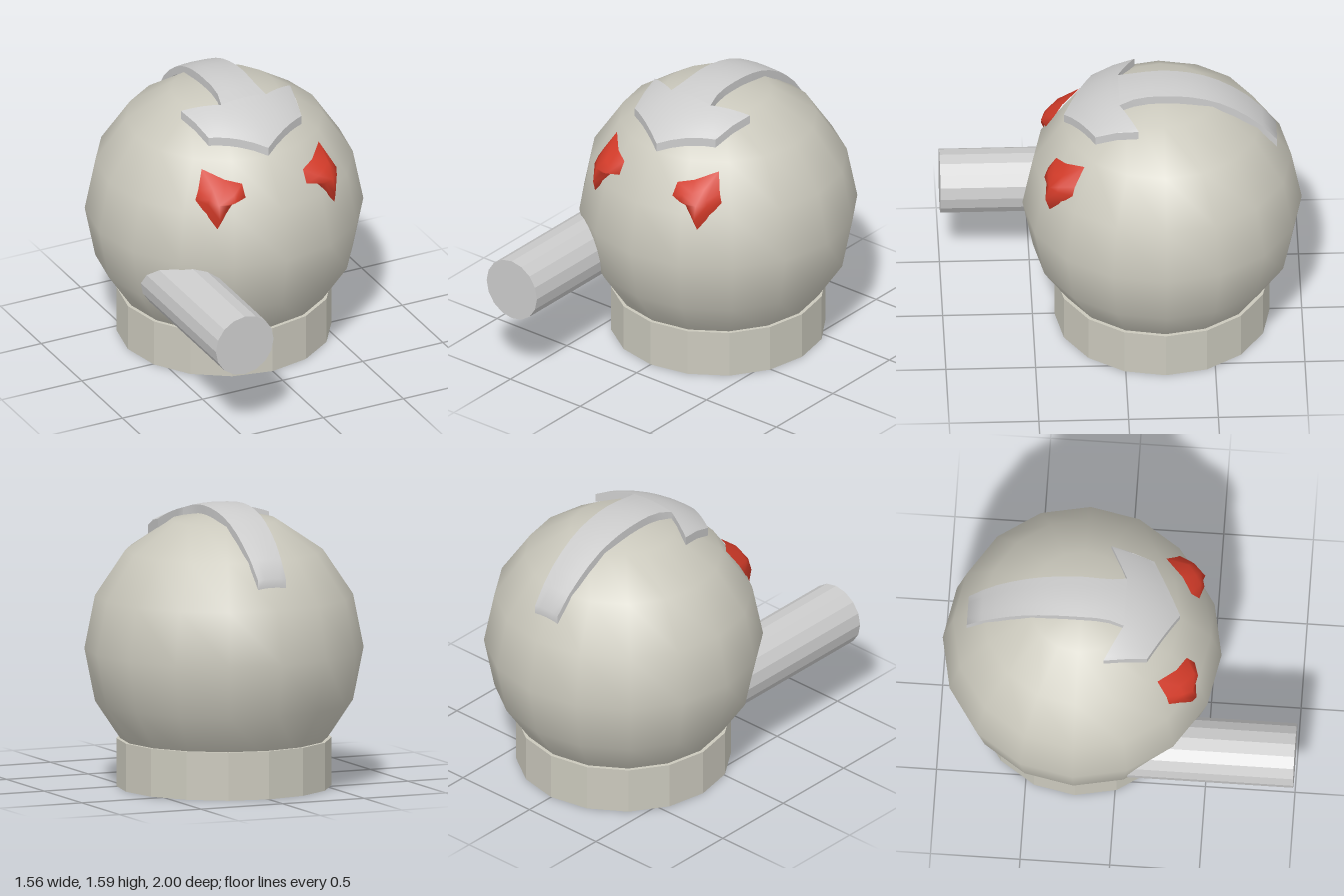
import * as THREE from 'three';
import { toCreasedNormals } from 'three/addons/utils/BufferGeometryUtils.js';

const CY = 0.777, CZ = -0.222, R = 0.778; // ball centre and radius

const grey = new THREE.MeshStandardMaterial({ color: 0xcccccc, side: THREE.DoubleSide });
const stone = new THREE.MeshStandardMaterial({ color: 0xcac8bc });
const red = new THREE.MeshStandardMaterial({ color: 0xd03a28 });

function add(group, name, geometry, material, x = 0, y = 0, z = 0) {
  const mesh = new THREE.Mesh(geometry, material);
  mesh.name = name;
  mesh.position.set(x, y, z);
  group.add(mesh);
  return mesh;
}

function buffer(positions, index) {
  const g = new THREE.BufferGeometry();
  g.setAttribute('position', new THREE.Float32BufferAttribute(positions, 3));
  g.setIndex(index);
  g.computeVertexNormals();
  return g;
}

// Curved plate over the ball: at(i, j) gives [x, z]; the border ring drops down as a wall
function plate(nx, nz, at, thickness = 0.05) {
  const pos = [], idx = [], row = nx + 2;
  for (let j = -1; j <= nz; j++) {
    for (let i = -1; i <= nx; i++) {
      const ci = THREE.MathUtils.clamp(i, 0, nx - 1), cj = THREE.MathUtils.clamp(j, 0, nz - 1);
      const [x, z] = at(ci, cj);
      const r = 0.813 - 0.06 * Math.max(0, -z - 0.5);
      const y = CY + Math.sqrt(r * r - x * x - (z - CZ) ** 2);
      pos.push(x, ci === i && cj === j ? y : y - thickness, z);
    }
  }
  for (let j = 0; j <= nz; j++) {
    for (let i = 0; i <= nx; i++) {
      const a = j * row + i, b = a + 1, c = a + row, d = c + 1;
      idx.push(a, c, b, b, c, d);
    }
  }
  return toCreasedNormals(buffer(pos, idx), 0.7);
}

// Piecewise linear lookup through [x, value] pairs
function lookup(pairs, x) {
  for (let k = 1; k < pairs.length; k++) {
    const [x0, v0] = pairs[k - 1], [x1, v1] = pairs[k];
    if (x <= x1) return v0 + (v1 - v0) * (x - x0) / (x1 - x0);
  }
  return pairs[pairs.length - 1][1];
}

// Bulging eye patch: outline on the ball, raised inner ring and centre
function eye(side) {
  const outline = [[0.365, 1.285], [0.273, 1.243], [0.19, 1.222], [0.19, 1.155],
    [0.265, 1.13], [0.365, 0.996], [0.44, 1.14], [0.416, 1.185]];
  if (side < 0) outline.reverse();
  const n = outline.length, centre = [0.355, 1.14], pos = [], idx = [];
  const put = (x, y, r) =>
    pos.push(side * x, y, CZ + Math.sqrt(r * r - x * x - (y - CY) ** 2));
  for (const [t, r] of [[1, 0.768], [0.55, 0.806]]) {
    for (const [x, y] of outline) {
      put(centre[0] + (x - centre[0]) * t, centre[1] + (y - centre[1]) * t, r);
    }
  }
  put(...centre, 0.818);
  for (let i = 0; i < n; i++) {
    const k = (i + 1) % n;
    idx.push(i, k, n + i, k, n + k, n + i, n + i, n + k, 2 * n);
  }
  return buffer(pos, idx);
}

export function createModel() {
  const model = new THREE.Group();
  model.name = 'ballHead';

  // Round head on a faceted collar
  add(model, 'head', new THREE.SphereGeometry(R, 16, 8), stone, 0, CY, CZ);
  const collar = new THREE.CylinderGeometry(0.6, 0.6, 0.27, 16);
  add(model, 'collar', toCreasedNormals(collar, 0.2), stone, 0, 0.135, CZ);

  // Rod sticking out to the front
  const rod = new THREE.CylinderGeometry(0.18, 0.18, 1.1, 16).rotateX(Math.PI / 2);
  add(model, 'rod', toCreasedNormals(rod, 0.2), grey, -0.49, 0.57, 0.45);

  // Crest: arrow-shaped brow plate and the strip running back from it
  const crest = new THREE.Group();
  crest.name = 'crest';
  model.add(crest);

  const half = [0.07, 0.14, 0.19, 0.24, 0.29, 0.315, 0.34];
  const xs = [...half.map((x) => -x).reverse(), 0, ...half];
  const front = [[0, 0.325], [0.29, 0.16], [0.34, -0.08]];
  const back = [[0, 0.02], [0.14, 0.02], [0.34, -0.08]];
  add(crest, 'browPlate', plate(xs.length, 7, (i, j) => {
    const a = Math.abs(xs[i]);
    return [xs[i], THREE.MathUtils.lerp(lookup(back, a), lookup(front, a), j / 6)];
  }), grey);

  const widths = [[-0.86, 0.085], [-0.7, 0.1], [-0.45, 0.113], [-0.25, 0.12], [-0.08, 0.117], [0.02, 0.14]];
  add(crest, 'crestStrip', plate(5, 12, (i, j) => {
    const z = -0.86 + 0.88 * j / 11;
    return [lookup(widths, z) * (i - 2) / 2, z];
  }), grey);

  // Eyes
  add(model, 'leftEye', eye(1), red);
  add(model, 'rightEye', eye(-1), red);

  return model;
}
